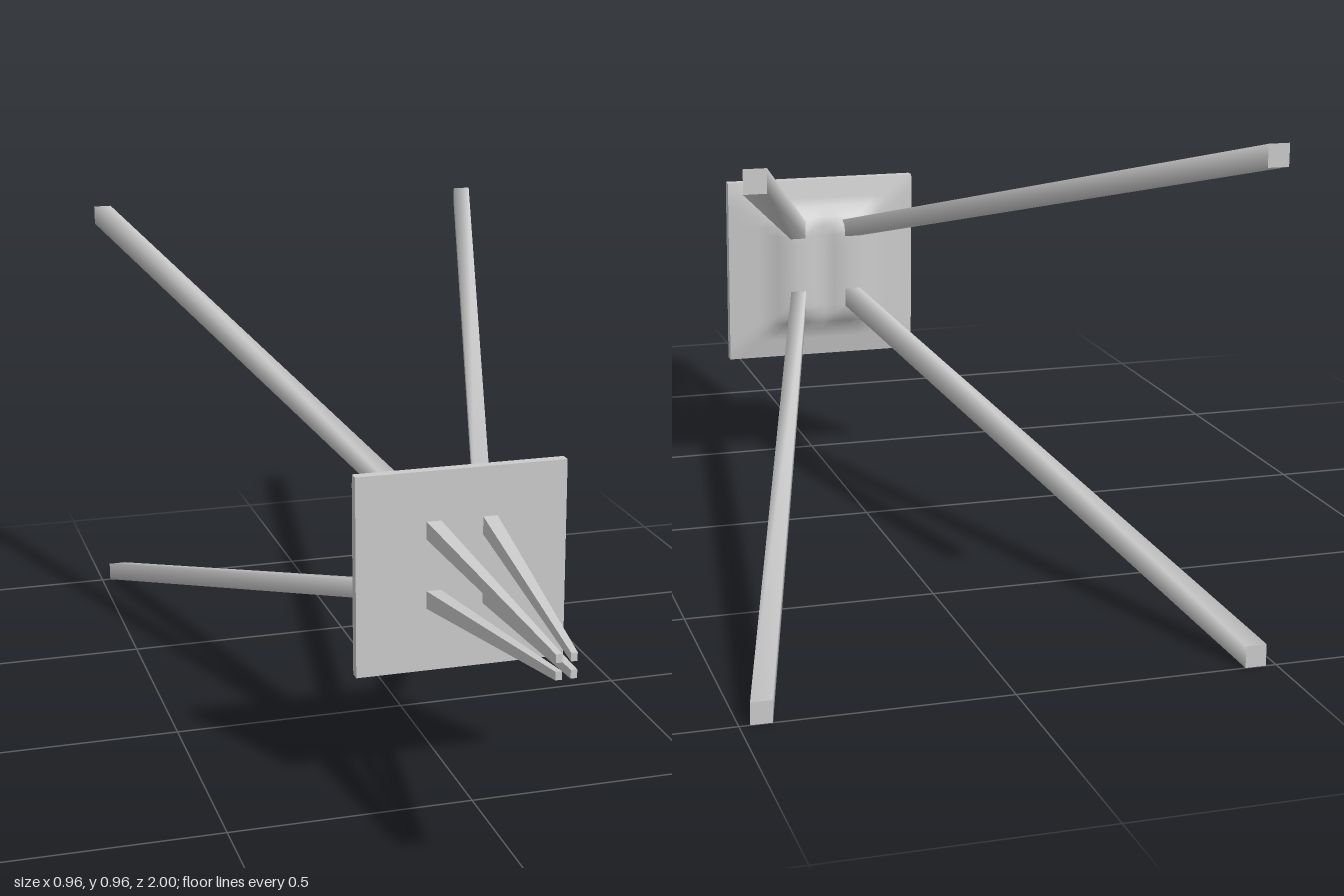
import * as THREE from 'three';
import { mergeVertices } from 'three/addons/utils/BufferGeometryUtils.js';

const MID_Y = 0.485;

// square bar between two z-planes; each end is { x, y, z, w, h }
function bar(name, back, front, flatShading) {
  let geo = new THREE.CylinderGeometry(Math.SQRT1_2, Math.SQRT1_2, 1, 4, 1, false, Math.PI / 4);
  geo.rotateX(Math.PI / 2);
  geo.deleteAttribute('uv');
  geo = mergeVertices(geo);
  const p = geo.attributes.position;
  const mix = (key, t) => THREE.MathUtils.lerp(back[key], front[key], t);
  for (let i = 0; i < p.count; i++) {
    const t = p.getZ(i) + 0.5;
    p.setXYZ(i,
      mix('x', t) + p.getX(i) * mix('w', t),
      mix('y', t) + p.getY(i) * mix('h', t),
      mix('z', t));
  }
  geo.computeVertexNormals();
  const mesh = new THREE.Mesh(geo, new THREE.MeshStandardMaterial({ color: 0xcccccc, flatShading }));
  mesh.name = name;
  return mesh;
}

// piecewise linear profile
function profile(points, v) {
  for (let i = 1; i < points.length; i++) {
    const [a, ha] = points[i - 1], [b, hb] = points[i];
    if (v <= b) return ha + (hb - ha) * (v - a) / (b - a);
  }
  return points[points.length - 1][1];
}

// flat-fronted plate with a raised hub on its back, notched down the middle
function makePlate() {
  const half = { x: 0.217, y: 0.207 }, frontZ = 0.422;
  const acrossX = [[0, 0.05], [0.065, 0.077], [0.13, 0.038], [0.217, 0.024]];
  const acrossY = [[0, 0.066], [0.1, 0.066], [0.145, 0.034], [0.217, 0.02]];
  const geo = new THREE.BoxGeometry(half.x * 2, half.y * 2, 1, 20, 20, 1);
  const p = geo.attributes.position;
  for (let i = 0; i < p.count; i++) {
    const x = p.getX(i), y = p.getY(i);
    const depth = Math.min(profile(acrossX, Math.abs(x)), profile(acrossY, Math.abs(y)));
    p.setZ(i, p.getZ(i) > 0 ? frontZ : frontZ - depth);
  }
  geo.translate(0, 0.468, 0);
  geo.computeVertexNormals();
  const mesh = new THREE.Mesh(geo, new THREE.MeshStandardMaterial({ color: 0xcccccc }));
  mesh.name = 'plate';
  return mesh;
}

export function createModel() {
  const model = new THREE.Group();
  model.name = 'model';
  model.add(makePlate());

  for (const sx of [1, -1]) {
    for (const sy of [1, -1]) {
      const side = (sy > 0 ? 'Upper' : 'Lower') + (sx > 0 ? 'Left' : 'Right');
      // long splayed leg behind the plate
      model.add(bar('leg' + side,
        { x: sx * 0.46, y: MID_Y + sy * 0.461, z: -1, w: 0.04, h: 0.042 },
        { x: sx * 0.06, y: MID_Y + sy * 0.078, z: 0.37, w: 0.035, h: 0.04 }, false));
      // tapered prong converging in front of the plate
      model.add(bar('prong' + side,
        { x: sx * 0.059, y: 0.482 + sy * 0.073, z: 0.41, w: 0.03, h: 0.037 },
        { x: sx * 0.014, y: 0.487 + sy * 0.016, z: 1, w: 0.012, h: 0.016 }, true));
    }
  }
  return model;
}
